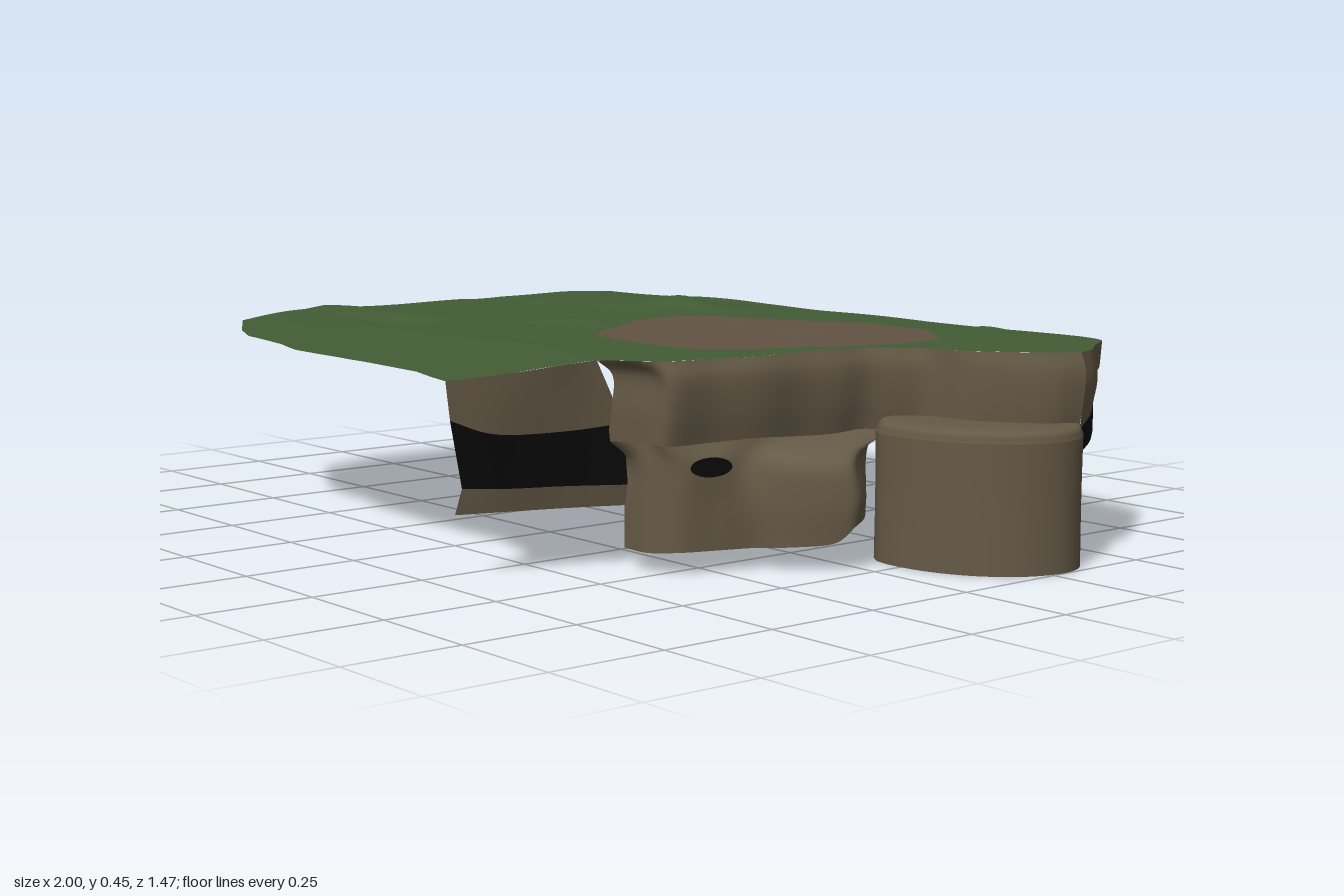
import * as THREE from 'three';

const paint = (name, color) => {
  const m = new THREE.MeshStandardMaterial({ color, side: THREE.DoubleSide });
  m.name = name;
  return m;
};

// Plan outline [x, z] of the plateau: right side first, then back, left, front
const right = [[0.31, 0.73], [0.36, 0.6], [0.39, 0.5], [0.4, 0.43], [0.47, 0.39], [0.52, 0.35], [0.54, 0.25],
  [0.57, 0.15], [0.58, 0.05], [0.6, -0.03], [0.61, -0.1], [0.64, -0.15], [0.68, -0.2], [0.78, -0.22],
  [0.86, -0.265], [0.92, -0.32], [0.945, -0.38]];
const back = [[0.92, -0.44], [0.87, -0.51], [0.81, -0.6], [0.73, -0.64], [0.6, -0.67], [0.52, -0.69], [0.4, -0.705],
  [0.2, -0.705], [0, -0.72], [-0.2, -0.73], [-0.4, -0.74], [-0.69, -0.74]];
const left = [[-0.7, -0.72], [-1, -0.71], [-0.99, -0.5], [-0.995, -0.3], [-0.98, 0], [-0.975, 0.32], [-0.91, 0.48],
  [-0.72, 0.59], [-0.62, 0.63], [-0.45, 0.645], [-0.35, 0.67], [-0.1, 0.69], [0.15, 0.69]];
const outline = [...right, ...back, ...left];

const clearing = [[0.1, 0.15], [0.22, 0.165], [0.35, 0.15], [0.44, 0.1], [0.49, 0.03], [0.56, -0.07], [0.58, -0.2],
  [0.565, -0.37], [0.48, -0.43], [0.4, -0.49], [0.3, -0.49], [0.21, -0.525], [0.12, -0.48], [0.02, -0.46],
  [-0.12, -0.39], [-0.19, -0.34], [-0.21, -0.24], [-0.17, -0.11], [-0.12, -0.05], [-0.08, 0.04], [0, 0.12]];
const centre = [0.2, -0.17];

// Gentle ground height with a few mounds and creases
const mounds = [[-0.4, -0.45, 0.025, 0.1, 0.06], [-0.25, -0.02, 0.01, 0.06, 0.05], [-0.75, -0.27, -0.008, 0.25, 0.04],
  [-0.8, 0.2, 0.012, 0.3, 0.05], [-0.55, 0.28, -0.012, 0.12, 0.05], [0.05, 0.38, 0.01, 0.15, 0.06],
  [0.48, -0.6, 0.01, 0.06, 0.04], [-0.05, -0.35, 0.006, 0.05, 0.04], [0.3, -0.2, -0.005, 0.03, 0.05]];
function height(x, z) {
  let y = 0.436 + 0.01 * THREE.MathUtils.smoothstep(x, 0, 0.8);
  y -= 0.024 * THREE.MathUtils.smoothstep(z, 0.35, 0.75);
  y -= 0.01 * THREE.MathUtils.smoothstep(-z, 0.5, 0.75);
  y -= 0.01 * THREE.MathUtils.smoothstep(-x, 0.5, 1);
  for (const [mx, mz, h, rx, rz] of mounds) y += h * Math.exp(-(((x - mx) / rx) ** 2) - ((z - mz) / rz) ** 2);
  return y + 0.0025 * Math.sin(9 * x + 3 * z) * Math.sin(11 * z - 2 * x);
}
const onGround = ([x, z]) => [x, height(x, z), z];

// Grid surface from rows of points; a row may be closed
function grid(rows, closed = false) {
  const n = rows[0].length, pos = rows.flat(2), index = [];
  for (let i = 0; i < rows.length - 1; i++) {
    for (let j = 0; j < (closed ? n : n - 1); j++) {
      const k = (j + 1) % n, a = i * n + j, b = i * n + k, c = a + n, d = b + n;
      index.push(a, c, d, a, d, b);
    }
  }
  const g = new THREE.BufferGeometry();
  g.setAttribute('position', new THREE.Float32BufferAttribute(pos, 3));
  g.setIndex(index);
  g.computeVertexNormals();
  return g;
}

// Distance from the centre to a polygon along a direction
function reach(poly, dx, dz) {
  for (let i = 0; i < poly.length; i++) {
    const [ax, az] = poly[i], [bx, bz] = poly[(i + 1) % poly.length];
    const ex = bx - ax, ez = bz - az, px = ax - centre[0], pz = az - centre[1];
    const det = ex * dz - dx * ez;
    if (Math.abs(det) < 1e-9) continue;
    const t = (ex * pz - ez * px) / det, s = (dx * pz - dz * px) / det;
    if (t > 0 && s >= -1e-6 && s <= 1 + 1e-6) return t;
  }
  return 0.3;
}

// Smooth wall lofted downward through several guide paths of [x, y, z]
function wall(paths, segments = 60, rowsPerBand = 5) {
  const v = (p) => new THREE.Vector3(...p);
  const guides = paths.map((p) => new THREE.CatmullRomCurve3(p.map(v), false, 'centripetal').getPoints(segments));
  const count = (paths.length - 1) * rowsPerBand;
  const columns = guides[0].map((_, j) =>
    new THREE.CatmullRomCurve3(guides.map((g) => g[j]), false, 'centripetal').getPoints(count));
  return grid(Array.from({ length: count + 1 }, (_, i) => columns.map((c) => c[i].toArray())));
}

export function createModel() {
  const model = new THREE.Group();
  const grass = paint('grass green', 0x425c34);
  const earth = paint('earth brown', 0x625343);
  const rock = paint('rock brown', 0x655a46);
  const dark = paint('dark hollow', 0x0a0a0a);
  const add = (name, geometry, material) => {
    const mesh = new THREE.Mesh(geometry, material);
    mesh.name = name;
    model.add(mesh);
    return mesh;
  };

  // Plateau: rings from the centre to the clearing edge, then to the rim
  const rim = outline.flatMap(([x, z], i) => {
    const [bx, bz] = outline[(i + 1) % outline.length];
    return Array.from({ length: 6 }, (_, k) => [x + (bx - x) * k / 6, z + (bz - z) * k / 6]);
  });
  const edge = rim.map(([x, z]) => {
    const dx = x - centre[0], dz = z - centre[1], t = Math.min(reach(clearing, dx, dz), 0.98);
    return [centre[0] + dx * t, centre[1] + dz * t];
  });
  const mix = (a, b, t) => a.map((p, i) => onGround([p[0] + (b[i][0] - p[0]) * t, p[1] + (b[i][1] - p[1]) * t]));
  const middle = rim.map(() => centre);
  const rings = (a, b, n, from) => Array.from({ length: n + 1 }, (_, i) => mix(a, b, from + (1 - from) * i / n));
  add('clearing', grid(rings(middle, edge, 9, 0.002), true), earth);
  add('grassPlateau', grid(rings(edge, rim, 20, 0), true), grass);

  // Front cliff: rock lip, dark hollow, rock foot
  const lip = right.slice(0, 4).map(onGround);
  const hollowTop = [[0.31, 0.335, 0.72], [0.335, 0.305, 0.64], [0.37, 0.3, 0.5], [0.41, 0.31, 0.37]];
  const hollowFoot = [[0.29, 0.195, 0.68], [0.32, 0.19, 0.6], [0.36, 0.188, 0.48], [0.41, 0.185, 0.36]];
  const foot = [[0.28, 0.142, 0.69], [0.31, 0.142, 0.6], [0.35, 0.142, 0.48], [0.4, 0.142, 0.36]];
  add('frontCliffLip', wall([lip, hollowTop], 16), rock);
  add('frontHollow', wall([hollowTop, hollowFoot], 16), dark);
  add('frontCliffFoot', wall([hollowFoot, foot], 16), rock);

  // Upper cliff along the right side, bulging slightly past the rim
  const crest = right.slice(3);
  const shifted = (d, y) => crest.map(([x, z], i) => [x + d, i < 2 ? y : y + 0.003 * Math.sin(i * 2), z - (i < 2 ? 0.03 : 0)]);
  const ledge = shifted(-0.005, 0.275);
  add('upperCliff', wall([crest.map(onGround), shifted(0.012, 0.41), shifted(0.008, 0.34), ledge], 80), rock);

  // Lower cliff with a protruding buttress
  const buttress = (y, d) => [[0.4, y, 0.36], [0.47, y, 0.36], [0.53, y, 0.33], [0.56, y, 0.25], [0.59 + d, y, 0.18],
    [0.66 + d, y, 0.12], [0.71 + d, y, 0.06], [0.725 + d, y, 0.025], [0.7 + d, y, -0.02], [0.64, y, -0.08]];
  const base = buttress(0.06, -0.005).map(([x, y, z], i) => [x, [0.055, 0.055, 0.06, 0.06, 0.06, 0.065, 0.075, 0.105, 0.11, 0.11][i], z]);
  const neck = [...ledge.slice(0, 9), [0.62, 0.275, -0.12]];
  add('lowerCliff', wall([neck, buttress(0.235, -0.02), buttress(0.16, 0), base], 60), rock);
  const spot = add('smallHollow', new THREE.CircleGeometry(1, 20), dark);
  spot.scale.set(0.045, 0.02, 1);
  spot.position.set(0.563, 0.23, 0.27);
  spot.rotation.y = 1.25;

  // Tall rounded pillar shell under the right corner
  const pillar = (y, s) => [[0.645, -0.1], [0.68, -0.078], [0.75, -0.072], [0.84, -0.09], [0.92, -0.135], [0.975, -0.2],
    [0.998, -0.28], [0.985, -0.34], [0.945, -0.392]].map(([x, z]) => [0.8 + (x - 0.8) * s, y, -0.28 + (z + 0.28) * s]);
  add('pillarShoulder', wall([ledge.slice(8).map(([x, , z]) => [x, 0.305, z]), pillar(0.3, 0.96), pillar(0.28, 1)], 50), rock);
  add('pillar', wall([pillar(0.28, 1), pillar(0.15, 0.995), pillar(0.015, 1)], 50), rock);

  // Back corner of the cliff with a dark hollow below it
  const corner = [right[16], back[0], [0.885, -0.49]];
  add('backCorner', wall([corner.map(onGround), corner.map(([x, z]) => [x + 0.01, 0.38, z]),
    corner.map(([x, z], i) => [x, 0.29 + 0.02 * i, z])], 12), rock);
  add('backHollow', wall([corner.map(([x, z], i) => [x, 0.29 + 0.02 * i, z]),
    corner.map(([x, z], i) => [x, 0.24 + 0.015 * i, z])], 12), dark);

  // Thin rock skirt along the back edge, with a dark strip below
  const skirt = [[0.885, -0.49], ...back.slice(1)];
  const hem = skirt.map(([x, z], i) => [x, i === 0 ? 0.365 : i === 1 ? 0.38 : x > -0.1 ? 0.392 : 0.402, z + 0.006]);
  add('backSkirt', wall([skirt.map(onGround), hem], 60, 3), rock);
  const strip = (y, z) => [[-0.03, y + 0.01, z + 0.008], [-0.2, y, z], [-0.4, y, z - 0.01], [-0.63, y, z - 0.01]];
  add('backDarkStrip', wall([strip(0.403, -0.724), strip(0.378, -0.722)], 20, 2), dark);

  return model;
}
